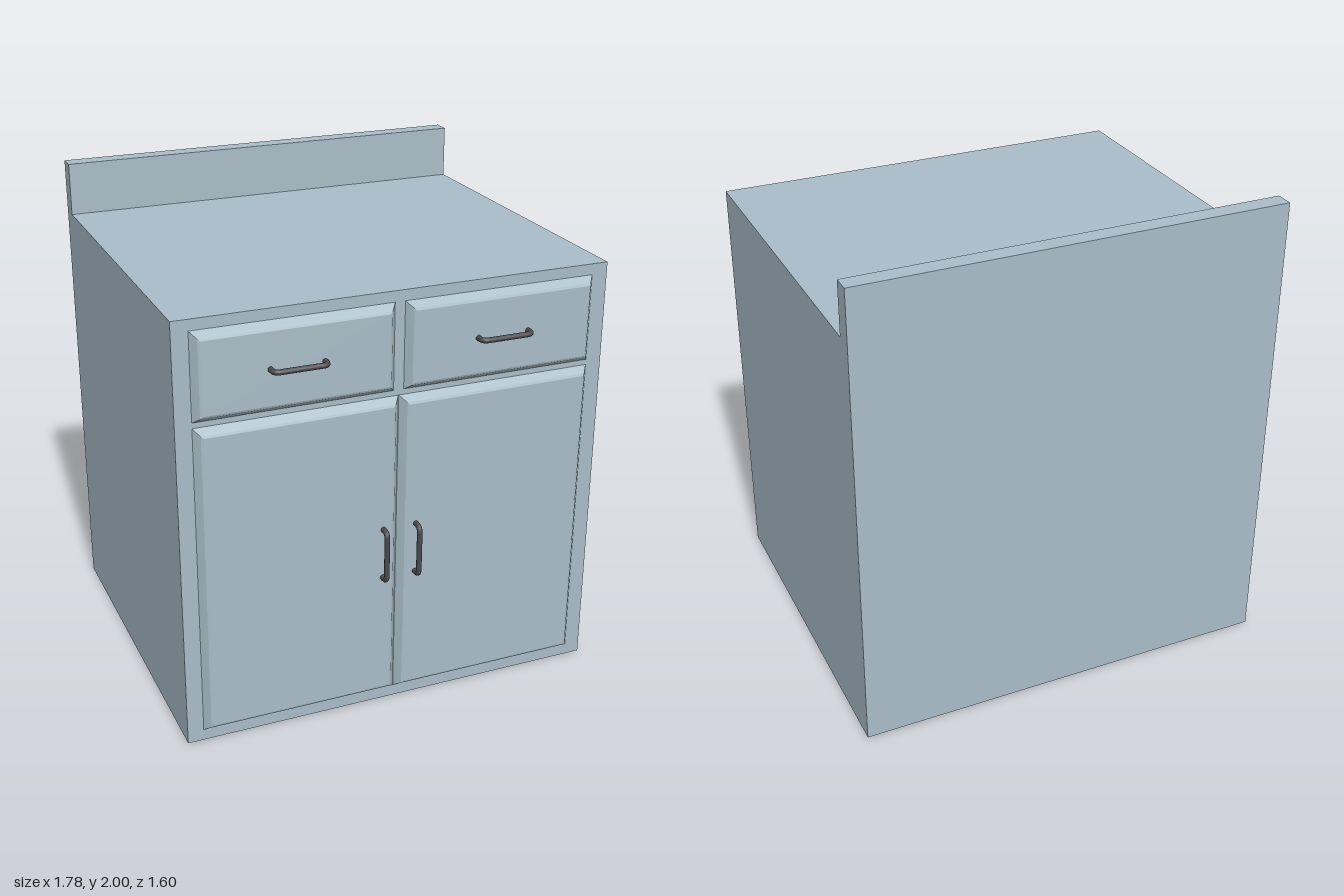
import * as THREE from 'three';

const paint = new THREE.MeshStandardMaterial({ color: 0xa9bdc8 });
paint.name = 'blue grey paint';
const metal = new THREE.MeshStandardMaterial({ color: 0x4b494d });
metal.name = 'dark metal';

const FRONT = 0.715; // front plane of the cabinet body

function addMesh(parent, name, geometry, material) {
  const mesh = new THREE.Mesh(geometry, material);
  mesh.name = name;
  parent.add(mesh);
  return mesh;
}

// Panel with a rounded-over edge, built from shrinking rectangular rings
function panelGeometry(w, h) {
  const rings = [[0, 0], [0.017, 0.023], [0.023, 0.031], [0.032, 0.035]]; // inset, depth
  const corners = [[-1, -1], [1, -1], [1, 1], [-1, 1]];
  const loops = rings.map(([inset, z]) =>
    corners.map(([sx, sy]) => [sx * (w / 2 - inset), sy * (h / 2 - inset), z]));
  const pos = [];
  const quad = (a, b, c, d) => pos.push(...a, ...b, ...c, ...a, ...c, ...d);
  for (let r = 0; r < loops.length - 1; r++) {
    for (let i = 0; i < 4; i++) {
      const j = (i + 1) % 4;
      quad(loops[r][i], loops[r][j], loops[r + 1][j], loops[r + 1][i]);
    }
  }
  quad(...loops[loops.length - 1]);
  const g = new THREE.BufferGeometry();
  g.setAttribute('position', new THREE.Float32BufferAttribute(pos, 3));
  g.computeVertexNormals();
  return g;
}

// Horizontal bar pull with rounded corners, its feet sunk into the panel
function handleGeometry() {
  const r = 0.011, half = 0.118 - r, out = 0.05 - r, bend = 0.025, foot = -0.005;
  const v = (x, z) => new THREE.Vector3(x, 0, z);
  const path = new THREE.CurvePath();
  path.add(new THREE.LineCurve3(v(-half, foot), v(-half, out - bend)));
  path.add(new THREE.QuadraticBezierCurve3(v(-half, out - bend), v(-half, out), v(-half + bend, out)));
  path.add(new THREE.LineCurve3(v(-half + bend, out), v(half - bend, out)));
  path.add(new THREE.QuadraticBezierCurve3(v(half - bend, out), v(half, out), v(half, out - bend)));
  path.add(new THREE.LineCurve3(v(half, out - bend), v(half, foot)));
  return new THREE.TubeGeometry(path, 64, r, 12, false);
}

export function createModel() {
  const group = new THREE.Group();
  group.name = 'cabinet';

  // Body and backsplash share one L-shaped side profile
  const profile = new THREE.Shape([
    [-FRONT, 0], [0.8, 0], [0.8, 2], [0.725, 2], [0.725, 1.78], [-FRONT, 1.78],
  ].map(([x, y]) => new THREE.Vector2(x, y)));
  const body = new THREE.ExtrudeGeometry(profile, { depth: 1.78, bevelEnabled: false });
  body.rotateY(Math.PI / 2).translate(-0.89, 0, 0);
  addMesh(group, 'body', body, paint);

  // Doors, drawer fronts and pulls, mirrored left and right
  const door = panelGeometry(0.823, 1.31);
  const drawer = panelGeometry(0.803, 0.355);
  const pull = handleGeometry();
  for (const [side, s] of [['left', 1], ['right', -1]]) {
    addMesh(group, side + 'Door', door, paint).position.set(s * 0.4125, 0.703, FRONT);
    addMesh(group, side + 'Drawer', drawer, paint).position.set(s * 0.4225, 1.558, FRONT);

    const doorHandle = addMesh(group, side + 'DoorHandle', pull, metal);
    doorHandle.position.set(s * 0.07, 0.703, FRONT + 0.035);
    doorHandle.rotation.z = Math.PI / 2;

    const drawerHandle = addMesh(group, side + 'DrawerHandle', pull, metal);
    drawerHandle.position.set(s * 0.4225, 1.558, FRONT + 0.035);
  }
  return group;
}
